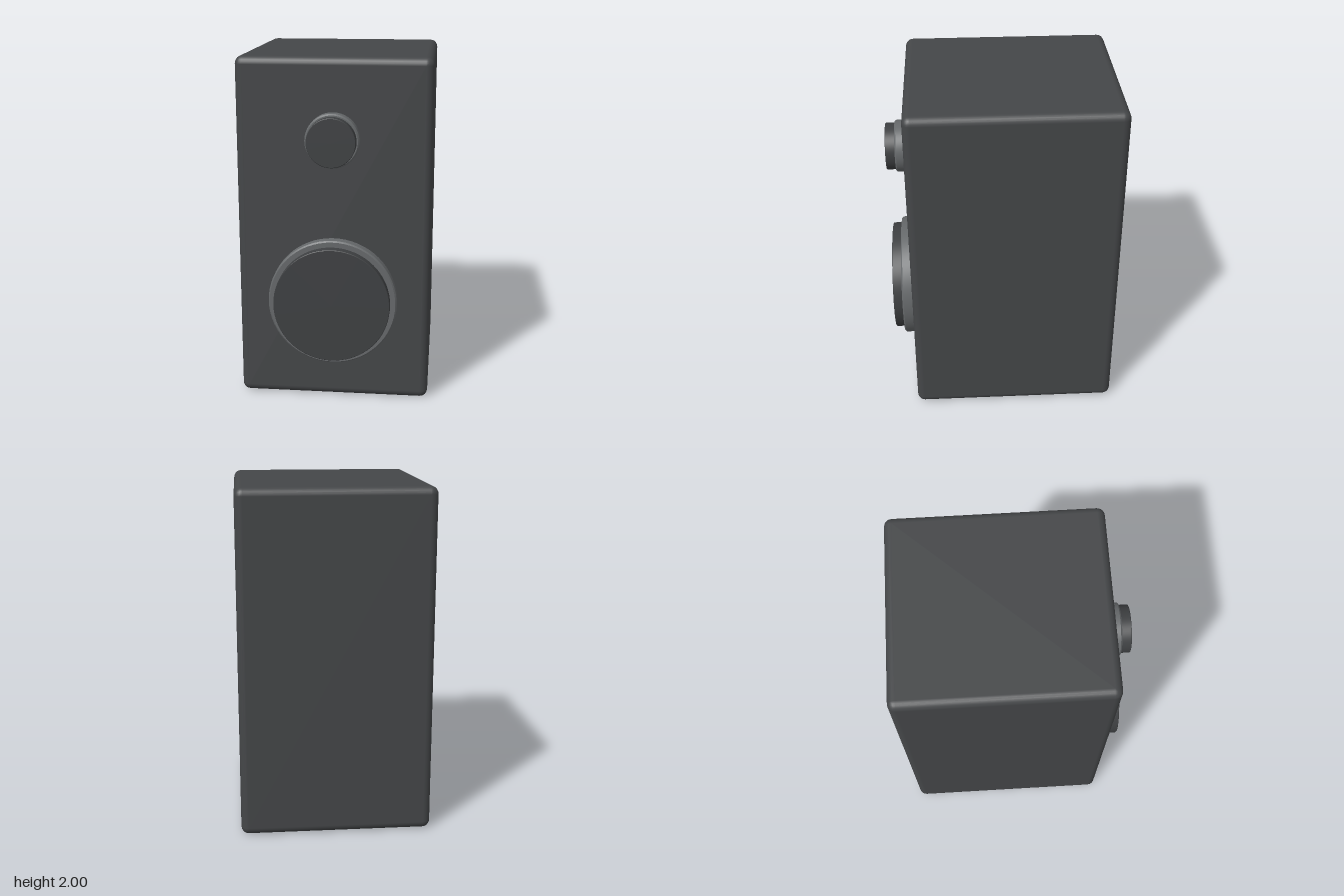
import * as THREE from 'three';
import { RoundedBoxGeometry } from 'three/addons/geometries/RoundedBoxGeometry.js';
import { toCreasedNormals } from 'three/addons/utils/BufferGeometryUtils.js';

const FRONT = 0.545; // z of the cabinet's front face
const BACK = -0.67;

const cabinetMaterial = new THREE.MeshStandardMaterial({ color: 0x444648 });
const ringMaterial = new THREE.MeshStandardMaterial({ color: 0x66696b });
const coneMaterial = new THREE.MeshStandardMaterial({ color: 0x3e4042 });

// Solid disc facing +z, from z = 0 to depth, with softened outer edges
function disc(name, radius, depth, bevel, material) {
  const profile = [
    [0, 0], [radius - bevel, 0], [radius, bevel],
    [radius, depth - bevel], [radius - bevel, depth], [0, depth],
  ].map(([x, y]) => new THREE.Vector2(x, y));
  const geometry = toCreasedNormals(new THREE.LatheGeometry(profile, 64), 0.6);
  geometry.rotateX(Math.PI / 2);
  const mesh = new THREE.Mesh(geometry, material);
  mesh.name = name;
  return mesh;
}

// Driver: a raised ring with a slightly smaller cap standing out of it
function driver(name, y, radius) {
  const group = new THREE.Group();
  group.name = name;
  const ring = disc(name + 'Ring', radius, 0.07, 0.008, ringMaterial);
  const cone = disc(name + 'Cone', radius * 0.9, 0.125, 0.003, coneMaterial);
  group.add(ring, cone);
  group.position.set(0, y, FRONT);
  return group;
}

export function createModel() {
  const model = new THREE.Group();
  model.name = 'loudspeaker';

  // Cabinet with rounded edges
  const cabinet = new THREE.Mesh(
    new RoundedBoxGeometry(1.106, 2, FRONT - BACK, 3, 0.045), cabinetMaterial);
  cabinet.name = 'cabinet';
  cabinet.position.set(0, 1, (FRONT + BACK) / 2);
  model.add(cabinet);

  // Drivers on the front face
  model.add(driver('woofer', 0.605, 0.37), driver('tweeter', 1.545, 0.153));
  return model;
}
